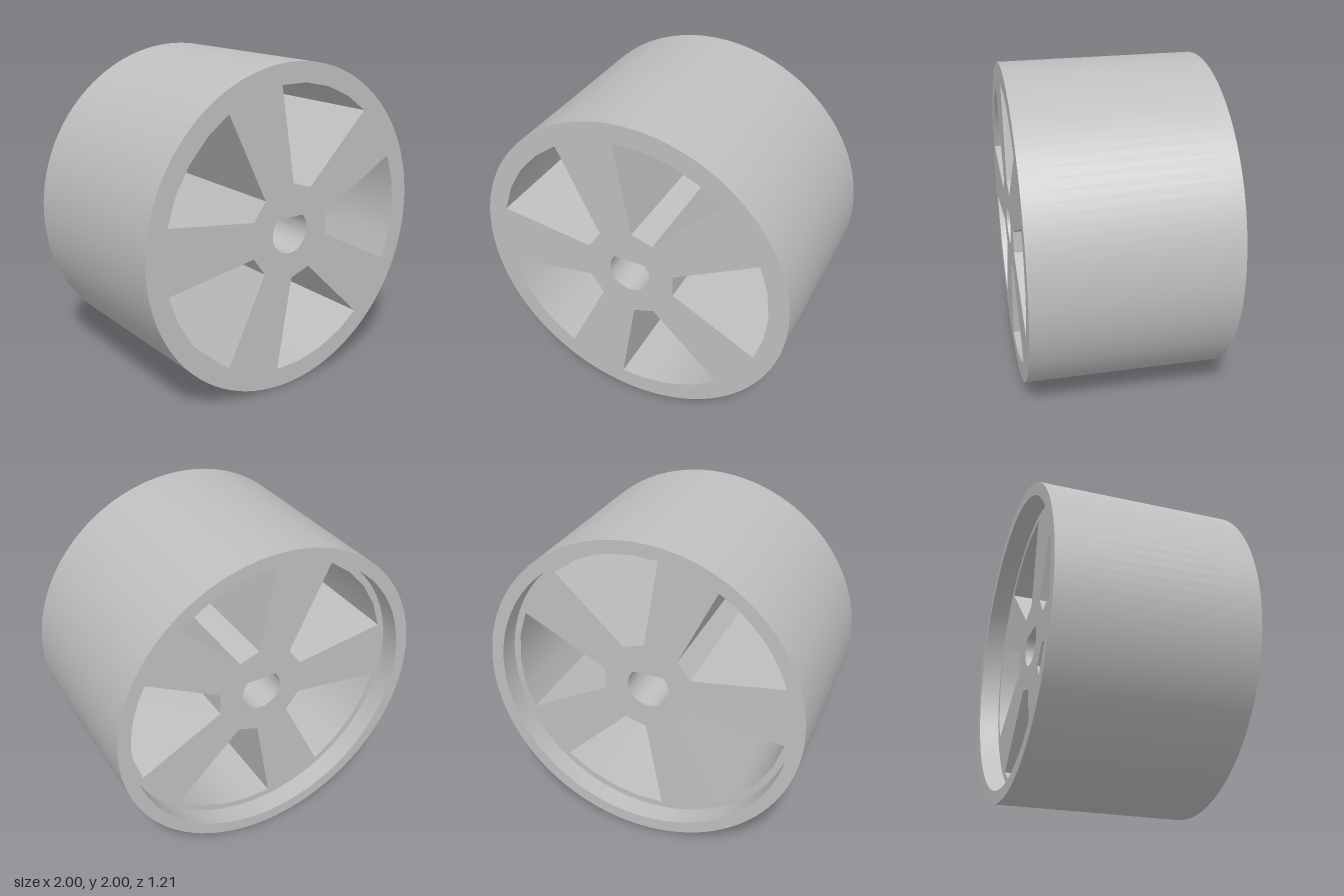
import * as THREE from 'three';
import { toCreasedNormals } from 'three/addons/utils/BufferGeometryUtils.js';

const FRONT = 0.605, BACK = -0.605, FLOOR = -0.475; // planes along the axle
const R = 1, LIP_R = 0.92, WINDOW_R = 0.88, BORE_R = 0.132, BORE_FLAT = 0.09;

// Points along an arc, counter-clockwise
function arc(radius, from, to, segments) {
  return Array.from({ length: segments + 1 }, (_, i) => {
    const a = from + ((to - from) * i) / segments;
    return new THREE.Vector2(radius * Math.cos(a), radius * Math.sin(a));
  });
}
const circle = (radius) => arc(radius, 0, Math.PI * 2, 96).slice(0, -1);

// Flat face with holes, turned to the front or the back
function face(outline, holes, z, toBack) {
  const shape = new THREE.Shape(outline);
  shape.holes = holes.map((h) => new THREE.Path(h));
  const g = new THREE.ShapeGeometry(shape);
  if (toBack) g.index.array.reverse();
  return toCreasedNormals(g.translate(0, 0, z), 0.5);
}

// Wall swept along the axle; faces inward for counter-clockwise outlines
function wall(points, z0, z1) {
  const pos = [];
  points.forEach((p, i) => {
    const q = points[(i + 1) % points.length];
    pos.push(p.x, p.y, z0, q.x, q.y, z1, q.x, q.y, z0);
    pos.push(p.x, p.y, z0, p.x, p.y, z1, q.x, q.y, z1);
  });
  const g = new THREE.BufferGeometry();
  g.setAttribute('position', new THREE.Float32BufferAttribute(pos, 3));
  return toCreasedNormals(g, 0.5);
}

export function createModel() {
  const wheel = new THREE.Group();
  wheel.name = 'wheel';
  const grey = new THREE.MeshStandardMaterial({ color: 0xbfbfbf });
  grey.name = 'grey';
  const add = (name, geometry) => {
    const mesh = new THREE.Mesh(geometry, grey);
    mesh.name = name;
    wheel.add(mesh);
  };

  // Five tapered windows between the spokes
  const half = 0.405;
  const windowOutline = [
    new THREE.Vector2(0.285, -0.07),
    ...arc(WINDOW_R, -half, half, 4),
    new THREE.Vector2(0.285, 0.07),
  ];
  const windows = Array.from({ length: 5 }, (_, i) =>
    windowOutline.map((p) => p.clone().rotateAround(new THREE.Vector2(), (i * Math.PI * 2) / 5)));

  // D-shaped axle bore with its flat on top
  const flat = Math.asin(BORE_FLAT / BORE_R);
  const bore = arc(BORE_R, Math.PI - flat, Math.PI * 2 + flat, 40);

  const rim = circle(R), lip = circle(LIP_R), openings = [...windows, bore];
  add('tread', wall([...rim].reverse(), BACK, FRONT));
  add('frontFace', face(rim, openings, FRONT, false));
  add('recessedBackFace', face(lip, openings, FLOOR, true));
  add('backRim', face(rim, [lip], BACK, true));
  add('recessWall', wall(lip, BACK, FLOOR));
  add('axleBore', wall(bore, FLOOR, FRONT));
  windows.forEach((w, i) => add(`windowWall${i + 1}`, wall(w, FLOOR, FRONT)));

  wheel.position.y = R; // rest on the ground
  return wheel;
}
